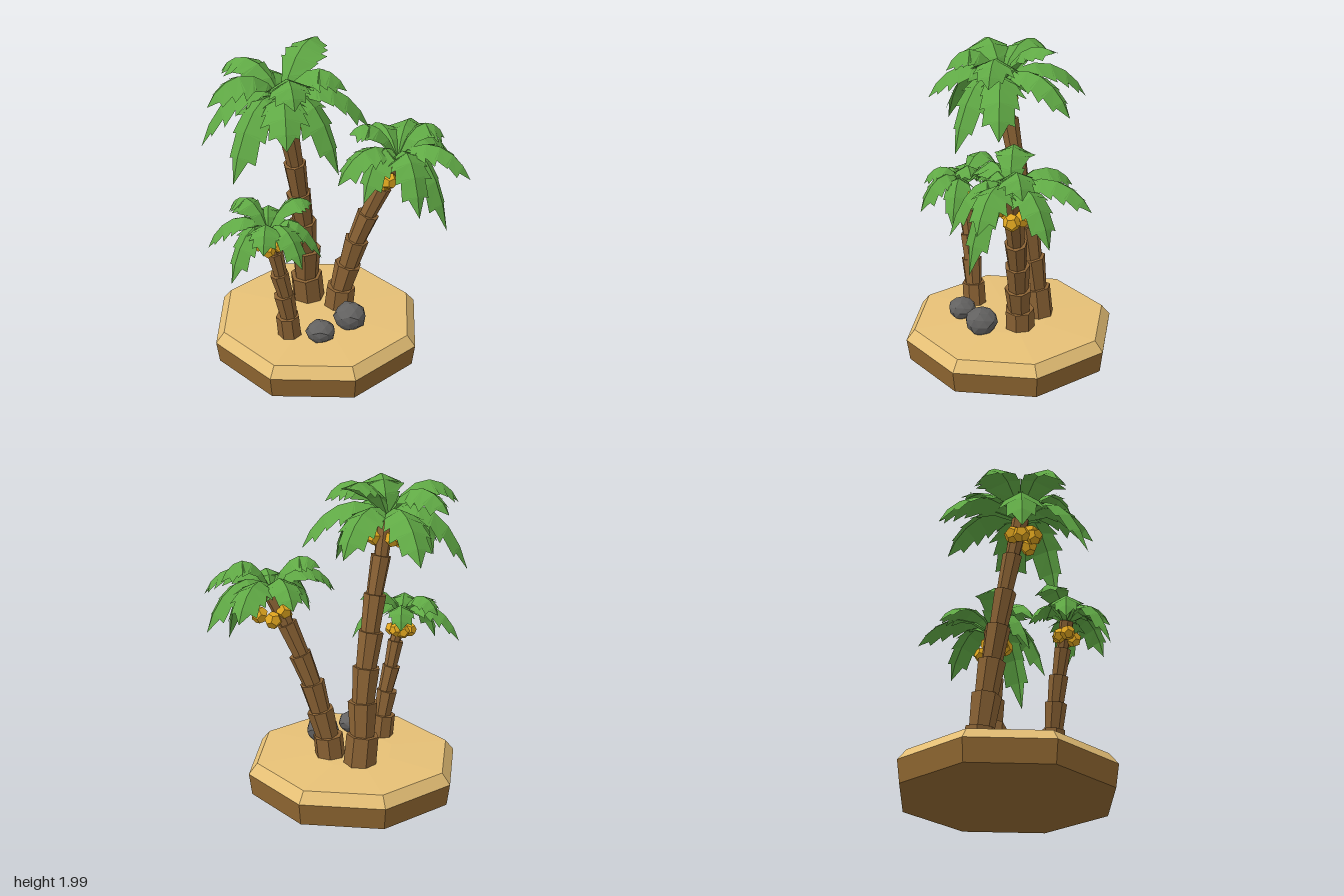
import * as THREE from 'three';

const mat = (name, color, side = THREE.FrontSide) => {
  const m = new THREE.MeshStandardMaterial({ color, flatShading: true, side });
  m.name = name;
  return m;
};
const sand = mat('sand', 0xe6c076);
const soil = mat('soil', 0x916832);
const bark = mat('bark', 0x8a6234);
const leafGreen = mat('leaf green', 0x60a945, THREE.DoubleSide);
const coconutGold = mat('coconut gold', 0xe0a61f);
const stone = mat('stone', 0x626160);

let seed = 7;
const rand = () => (seed = (seed * 16807) % 2147483647) / 2147483647;
const V = (a) => new THREE.Vector3(...a);

function add(parent, name, geometry, material, pos = [0, 0, 0]) {
  const m = new THREE.Mesh(geometry, material);
  m.name = name;
  m.position.set(...pos);
  parent.add(m);
  return m;
}

// Folded frond with toothed edges, arching out of the crown and drooping to its tip
function frondGeometry(start, tip, rise, width) {
  const c1 = start.clone().lerp(tip, 0.35);
  const c2 = start.clone().lerp(tip, 0.85);
  c1.y = start.y + rise;
  c2.y = THREE.MathUtils.lerp(tip.y, c1.y, 0.6);
  const curve = new THREE.CubicBezierCurve3(start, c1, c2, tip);
  const side = new THREE.Vector3(tip.z - start.z, 0, start.x - tip.x).normalize();
  const profile = [0.22, 0.62, 0.95, 1, 0.9, 0.64, 0];
  const n = profile.length - 1;
  const out = [];
  const tri = (a, b, c) => [a, b, c].forEach((p) => out.push(p.x, p.y, p.z));
  const edge = (t, w, s, forward) => {
    const tan = curve.getTangent(t);
    const up = new THREE.Vector3().crossVectors(tan, side);
    return curve.getPoint(t).addScaledVector(side, s * w)
      .addScaledVector(up, -0.5 * w).addScaledVector(tan, forward);
  };
  for (let i = 0; i < n; i++) {
    const t0 = i / n, t1 = (i + 1) / n;
    const a = curve.getPoint(t0), b = curve.getPoint(t1);
    for (const s of [1, -1]) {
      const last = i === n - 1;
      const inner = edge(t0, width * profile[i] * 0.72, s, 0);
      const tooth = last ? b : edge(t1, width * profile[i + 1] * (0.85 + 0.35 * rand()), s, width * 0.18);
      if (s > 0) {
        tri(a, inner, tooth);
        if (!last) tri(a, tooth, b);
      } else {
        tri(a, tooth, inner);
        if (!last) tri(a, b, tooth);
      }
    }
  }
  const g = new THREE.BufferGeometry();
  g.setAttribute('position', new THREE.Float32BufferAttribute(out, 3));
  g.computeVertexNormals();
  return g;
}

// Rounded stone with a few uneven facets
function rockGeometry(radius) {
  const g = new THREE.IcosahedronGeometry(radius, 1);
  const p = g.attributes.position;
  for (let i = 0; i < p.count; i++) {
    const x = p.getX(i), y = p.getY(i), z = p.getZ(i);
    const k = 1 + 0.05 * Math.sin((5 * x + 7 * y + 4 * z) / radius);
    p.setXYZ(i, x * k, y * k, z * k);
  }
  g.computeVertexNormals();
  return g;
}

function palm(name, { path, pieces, radii, crown, tiers, width, nuts, nutSize }) {
  const g = new THREE.Group();
  g.name = name;
  // Trunk of stacked pieces, each flaring toward its top
  const curve = new THREE.QuadraticBezierCurve3(...path.map(V));
  for (let i = 0; i < pieces; i++) {
    const a = curve.getPoint(i / pieces), b = curve.getPoint((i + 1) / pieces);
    const r = THREE.MathUtils.lerp(radii[0], radii[1], i / (pieces - 1));
    const dir = b.clone().sub(a);
    const geo = new THREE.CylinderGeometry(r, r * (i ? 0.82 : 1.02), dir.length() * 1.04, 7);
    geo.rotateY(rand() * 6);
    const m = add(g, 'trunkPiece', geo, bark, a.clone().lerp(b, 0.5).toArray());
    m.quaternion.setFromUnitVectors(new THREE.Vector3(0, 1, 0), dir.normalize());
    m.rotateZ((rand() - 0.5) * 0.14);
  }
  // Drooping lower fronds and raised upper fronds
  for (const { rise, tips } of tiers) {
    for (const t of tips) add(g, 'frond', frondGeometry(V(crown), V(t), rise, width), leafGreen);
  }
  for (const p of nuts) {
    add(g, 'coconut', new THREE.DodecahedronGeometry(nutSize), coconutGold, p).rotation.set(rand() * 3, rand() * 3, 0);
  }
  return g;
}

export function createModel() {
  const model = new THREE.Group();
  model.name = 'palmIsland';

  // Octagonal island, tipped slightly forward: soil wall, bevelled sand rim, domed top
  const island = new THREE.Group();
  island.name = 'island';
  island.position.set(-0.125, 0.008, 0);
  island.rotation.x = 0.012;
  model.add(island);
  const ring = (top, bottom, y0, y1, open) =>
    new THREE.CylinderGeometry(top, bottom, y1 - y0, 8, 1, open).rotateY(Math.PI / 8).translate(0, (y0 + y1) / 2, 0);
  add(island, 'soilBase', ring(0.664, 0.645, 0, 0.137, false), soil);
  add(island, 'sandRim', ring(0.61, 0.664, 0.137, 0.205, true), sand);
  add(island, 'sandTop', ring(0.25, 0.61, 0.205, 0.222, false), sand);

  model.add(palm('tallPalm', {
    path: [[-0.19, 0.2, -0.17], [-0.19, 0.9, -0.1], [-0.31, 1.72, 0.08]],
    pieces: 7, radii: [0.1, 0.053], crown: [-0.31, 1.72, 0.08], width: 0.135,
    tiers: [
      { rise: 0.2, tips: [[-0.79, 1.41, 0.07], [-0.57, 1.37, 0.46], [0.02, 1.36, 0.31], [0.19, 1.52, 0.02],
        [-0.1, 1.58, -0.36], [-0.54, 1.57, -0.41], [-0.26, 1.61, 0.52]] },
      { rise: 0.31, tips: [[-0.72, 1.76, 0.28], [0.06, 1.79, 0.1], [-0.12, 1.97, -0.26],
        [-0.68, 1.8, -0.14], [-0.22, 1.8, 0.4]] },
    ],
    nuts: [[-0.39, 1.58, 0.08], [-0.33, 1.6, 0.16], [-0.25, 1.57, 0.13], [-0.24, 1.6, 0.05],
      [-0.31, 1.63, 0.14], [-0.35, 1.6, 0.03]],
    nutSize: 0.053,
  }));

  model.add(palm('leaningPalm', {
    path: [[0, 0.2, -0.08], [0.06, 0.66, -0.08], [0.36, 1.28, -0.08]],
    pieces: 6, radii: [0.092, 0.055], crown: [0.36, 1.28, -0.07], width: 0.118,
    tiers: [
      { rise: 0.22, tips: [[0.01, 1.21, 0.17], [0.16, 1.08, 0.15], [0.47, 1.24, -0.55], [0.7, 1.1, -0.34],
        [0.79, 1.2, 0.05], [0.66, 0.89, 0.12], [0.49, 1.05, 0.26], [0.18, 1.28, -0.41]] },
      { rise: 0.3, tips: [[0.07, 1.43, -0.06], [0.64, 1.36, -0.18]] },
    ],
    nuts: [[0.28, 1.18, -0.02], [0.29, 1.12, -0.05], [0.34, 1.12, -0.14], [0.43, 1.13, -0.09],
      [0.31, 1.16, 0], [0.28, 1.17, -0.1]],
    nutSize: 0.053,
  }));

  model.add(palm('smallPalm', {
    path: [[-0.28, 0.2, 0.25], [-0.3, 0.6, 0.27], [-0.39, 1, 0.34]],
    pieces: 5, radii: [0.072, 0.042], crown: [-0.39, 1, 0.34], width: 0.098,
    tiers: [
      { rise: 0.18, tips: [[-0.75, 0.86, 0.31], [-0.59, 0.78, 0.57], [-0.18, 0.88, 0.57], [-0.08, 0.83, 0.35],
        [-0.4, 0.98, 0.12], [-0.4, 0.98, 0.59]] },
      { rise: 0.25, tips: [[-0.14, 1.13, 0.24], [-0.62, 1.07, 0.18]] },
    ],
    nuts: [[-0.44, 0.91, 0.34], [-0.39, 0.89, 0.38], [-0.33, 0.91, 0.35], [-0.36, 0.92, 0.3], [-0.4, 0.91, 0.3]],
    nutSize: 0.044,
  }));

  // Rocks
  add(model, 'smallRock', rockGeometry(0.09), stone, [-0.09, 0.275, 0.3]).scale.set(1, 0.75, 0.95);
  add(model, 'largeRock', rockGeometry(0.1), stone, [0.085, 0.288, 0.148]).scale.set(1, 0.88, 1);

  return model;
}
